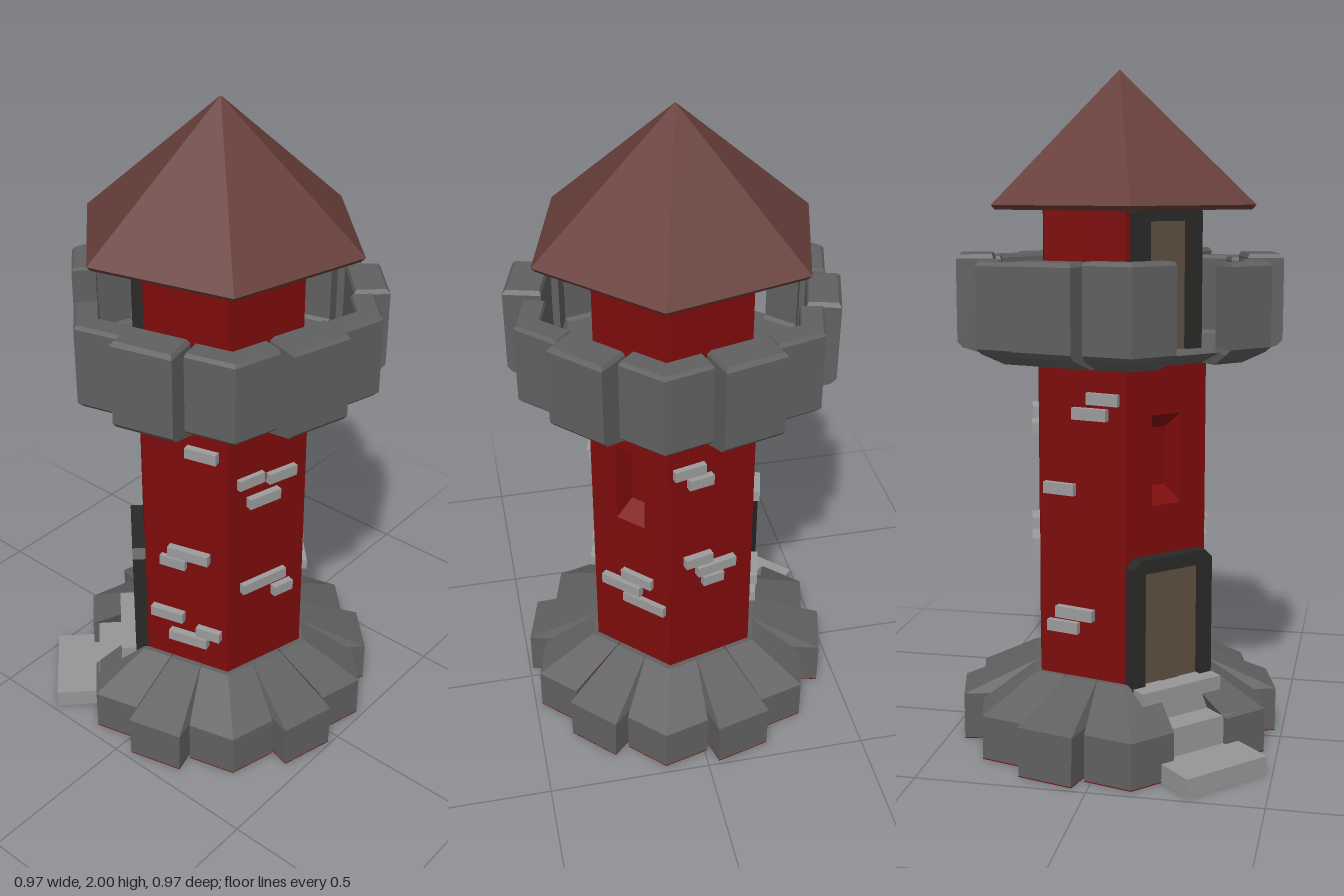
import * as THREE from 'three';

const rad = THREE.MathUtils.degToRad;
const mat = (color, side = THREE.FrontSide) => new THREE.MeshStandardMaterial({ color, side, flatShading: true });
const RED = mat(0x7d0b0c), REVEAL = mat(0x7d0b0c, THREE.BackSide), ROOF = mat(0x673e3a, THREE.DoubleSide);
const STONE = mat(0x606060), BRICK = mat(0x9c9c9c), STEP = mat(0x969696), FRAME = mat(0x2a2927), WOOD = mat(0x5f4e41);

const FACES = [15, 75, 135, 195, 255, 315]; // wall directions, degrees from +x toward +z
const DOOR_FACE = 135;
const APOTHEM = 0.243, HALF = 0.14;

// Small seeded variation
let seed = 7;
const vary = (amount) => {
  seed = (seed * 16807) % 2147483647;
  return (seed / 2147483647 - 0.5) * 2 * amount;
};

function add(parent, name, geometry, material, x = 0, y = 0, z = 0) {
  const mesh = new THREE.Mesh(geometry, material);
  mesh.name = name;
  mesh.position.set(x, y, z);
  parent.add(mesh);
  return mesh;
}

// Group whose local +z points outward along the given direction
function side(parent, name, angle) {
  const g = new THREE.Group();
  g.name = name;
  g.rotation.y = rad(90 - angle);
  parent.add(g);
  return g;
}

// Six-sided prism or frustum aligned with the walls
function hex(rTop, rBottom, y0, y1, open = false) {
  return new THREE.CylinderGeometry(rTop, rBottom, y1 - y0, 6, 1, open).rotateY(rad(-15)).translate(0, (y0 + y1) / 2, 0);
}

// Solid through horizontal cross-sections {y, pts: [[x, z], ...]}, listed from bottom to top
function loft(rings) {
  const pos = [], n = rings[0].pts.length;
  const put = (ring, i) => pos.push(ring.pts[i % n][0], ring.y, ring.pts[i % n][1]);
  for (let r = 0; r + 1 < rings.length; r++) {
    const a = rings[r], b = rings[r + 1];
    for (let i = 0; i < n; i++) {
      put(a, i); put(a, i + 1); put(b, i + 1);
      put(a, i); put(b, i + 1); put(b, i);
    }
  }
  const cap = (ring, flip) => {
    const contour = ring.pts.map(([x, z]) => new THREE.Vector2(x, -z));
    for (const [a, b, c] of THREE.ShapeUtils.triangulateShape(contour, [])) {
      for (const i of flip ? [a, c, b] : [a, b, c]) put(ring, i);
    }
  };
  cap(rings[0], true);
  cap(rings[rings.length - 1], false);
  const g = new THREE.BufferGeometry();
  g.setAttribute('position', new THREE.Float32BufferAttribute(pos, 3));
  g.computeVertexNormals();
  return g;
}

// Plan of a stone bent around a hexagon corner: outer apothem, arm length, thickness
function cornerPlan(d, arm, t) {
  const R = d / Math.cos(rad(30)), x = arm * 0.866, z = R - arm * 0.5;
  const xi = x - t * 0.5, zi = z - t * 0.866;
  return [[-x, z], [0, R], [x, z], [xi, zi], [0, R - t / 0.866], [-xi, zi]];
}

// Plan of a straight stone: outer and inner distance, half width
function straightPlan(outer, inner, h) {
  return [[-h, outer], [h, outer], [h, inner], [-h, inner]];
}

// Base stone with a red underside
function baseStone(parent, foot, shoulder, y, top) {
  add(parent, 'baseUnderside', loft([{ y: 0, pts: foot }, { y: 0.003, pts: foot }]), RED);
  add(parent, 'baseStone', loft([{ y: 0.003, pts: foot }, { y, pts: shoulder }, { y: 0.234, pts: top }]), STONE);
}

const shapeOf = (pts) => new THREE.Shape(pts.map(([x, y]) => new THREE.Vector2(x, y)));

// Wall panel with a splayed window opening
function windowWall(parent) {
  const shape = shapeOf([[-HALF, 0.15], [HALF, 0.15], [HALF, 1.2], [-HALF, 1.2]]);
  shape.holes.push(shapeOf([[-0.05, 0.755], [-0.05, 1.02], [0.05, 1.02], [0.05, 0.755]]));
  add(parent, 'windowWall', new THREE.ExtrudeGeometry(shape, { depth: 0.06, bevelEnabled: false }), RED, 0, 0, APOTHEM - 0.06);
  const reveal = new THREE.CylinderGeometry(1, 0.65, 0.055, 4, 1, true).rotateY(rad(45)).rotateX(rad(90)).scale(0.0707, 0.187, 1);
  add(parent, 'windowReveal', reveal, REVEAL, 0, 0.8875, APOTHEM - 0.0275);
}

// Plank door in a frame with clipped upper corners
function door(parent, name, h, y0, y1, z, depth, rim) {
  const c = 0.025, w = h - rim;
  const frame = shapeOf([[-h, y0], [-w, y0], [-w, y1 - rim], [w, y1 - rim], [w, y0], [h, y0],
    [h, y1 - c], [h - c, y1], [-h + c, y1], [-h, y1 - c]]);
  add(parent, name + 'Frame', new THREE.ExtrudeGeometry(frame, { depth: depth + 0.02, bevelEnabled: false }), FRAME, 0, 0, z - 0.02);
  const plank = (2 * w) / 3, tall = y1 - rim - y0;
  for (let i = -1; i <= 1; i++) {
    add(parent, name + 'Plank', new THREE.BoxGeometry(plank - 0.003, tall, depth), WOOD,
      i * plank, y0 + tall / 2, z + (i === 0 ? 0.004 : 0));
  }
}

// Loose bricks per wall: [offset to the right, height, width]
const BRICKS = {
  75: [[0.06, 1.03, 0.1], [0.015, 0.66, 0.135], [-0.04, 0.615, 0.085], [-0.06, 0.41, 0.11], [0.08, 0.375, 0.08], [0.012, 0.335, 0.13]],
  15: [[-0.065, 0.935, 0.09], [0.045, 0.92, 0.1], [-0.02, 0.86, 0.11], [-0.015, 0.55, 0.16], [0.055, 0.495, 0.07]],
  315: [[0.025, 0.55, 0.11], [-0.03, 0.505, 0.14], [0.05, 0.46, 0.15]],
  255: [[-0.08, 0.99, 0.1], [-0.045, 0.945, 0.08], [-0.05, 0.65, 0.09], [0.01, 0.605, 0.13], [0, 0.56, 0.07]],
  195: [[0.07, 1.07, 0.1], [0.03, 1.025, 0.11], [-0.07, 0.8, 0.1], [-0.02, 0.43, 0.12], [-0.06, 0.385, 0.1]],
};

export function createModel() {
  const tower = new THREE.Group();
  tower.name = 'tower';
  tower.position.set(0.005, 0, -0.004);

  // Red core, platform, upper room and hollow roof
  add(tower, 'footing', hex(0.29, 0.425, 0, 0.2), RED);
  add(tower, 'innerCore', hex(0.215, 0.215, 0.1, 1.19), RED);
  add(tower, 'platform', hex(0.43, 0.32, 1.165, 1.205), STONE);
  add(tower, 'upperRoom', hex(0.26, 0.26, 1.2, 1.74), RED);
  add(tower, 'roof', hex(0, 0.43, 1.615, 2, true), ROOF);
  add(tower, 'roofEave', hex(0.43, 0.418, 1.602, 1.615, true), ROOF);

  for (const angle of FACES) {
    const wall = side(tower, 'wallSide', angle);
    if (angle === DOOR_FACE || angle === DOOR_FACE + 180) {
      windowWall(wall);
    } else {
      add(wall, 'wall', new THREE.BoxGeometry(HALF * 2, 1.05, 0.06), RED, 0, 0.675, APOTHEM - 0.03);
    }
    for (const [x, y, w] of BRICKS[angle] || []) {
      add(wall, 'brick', new THREE.BoxGeometry(w, 0.034, 0.04), BRICK, x, y, APOTHEM + vary(0.004)).rotation.z = vary(0.02);
    }

    if (angle === DOOR_FACE) {
      // Doors and entrance steps
      door(wall, 'door', 0.14, 0.22, 0.61, APOTHEM, 0.04, 0.042);
      door(wall, 'upperDoor', 0.115, 1.2, 1.62, 0.225, 0.03, 0.05);
      for (const [h, y, front, back] of [[0.142, 0.055, 0.547, 0.36], [0.143, 0.14, 0.405, 0.25], [0.14, 0.23, 0.33, 0.23]]) {
        add(wall, 'step', new THREE.BoxGeometry(h * 2, y, front - back), STEP, 0, y / 2 + 0.001, (front + back) / 2);
      }
    } else {
      // Protruding stones in the middle of each side
      const out = 0.478 + vary(0.006);
      baseStone(wall, straightPlan(out, 0.36, 0.085), straightPlan(out, 0.3, 0.088), 0.14 + vary(0.01), straightPlan(0.26, 0.225, 0.052));
      const top = 1.465 + vary(0.008), h = 0.092, face = angle === 195 ? 0.468 : out;
      add(wall, 'parapetStone', loft([
        { y: 1.167, pts: straightPlan(0.35, 0.26, h) },
        { y: 1.203, pts: straightPlan(face - 0.015, 0.34, h) },
        { y: 1.22, pts: straightPlan(face, 0.37, h) },
        { y: top - 0.012, pts: straightPlan(face, 0.37, h) },
        { y: top, pts: straightPlan(face - 0.01, 0.375, h - 0.008) },
      ]), STONE).rotation.y = vary(0.02);
    }

    // Stones wrapping each corner
    const corner = side(tower, 'cornerSide', angle + 30);
    const d = 0.42 + vary(0.006), arm = 0.147 + vary(0.004);
    baseStone(corner, cornerPlan(d, arm, 0.06), cornerPlan(d, arm, 0.1), 0.135 + vary(0.01), cornerPlan(0.258, 0.095, 0.03));
    const top = 1.46 + vary(0.01);
    add(corner, 'parapetCornerStone', loft([
      { y: 1.166, pts: cornerPlan(0.34, 0.1, 0.08) },
      { y: 1.2, pts: cornerPlan(d - 0.015, arm - 0.005, 0.07) },
      { y: 1.215, pts: cornerPlan(d, arm, 0.07) },
      { y: top - 0.01, pts: cornerPlan(d, arm, 0.07) },
      { y: top, pts: cornerPlan(d - 0.008, arm - 0.008, 0.058) },
    ]), STONE);
  }
  return tower;
}
